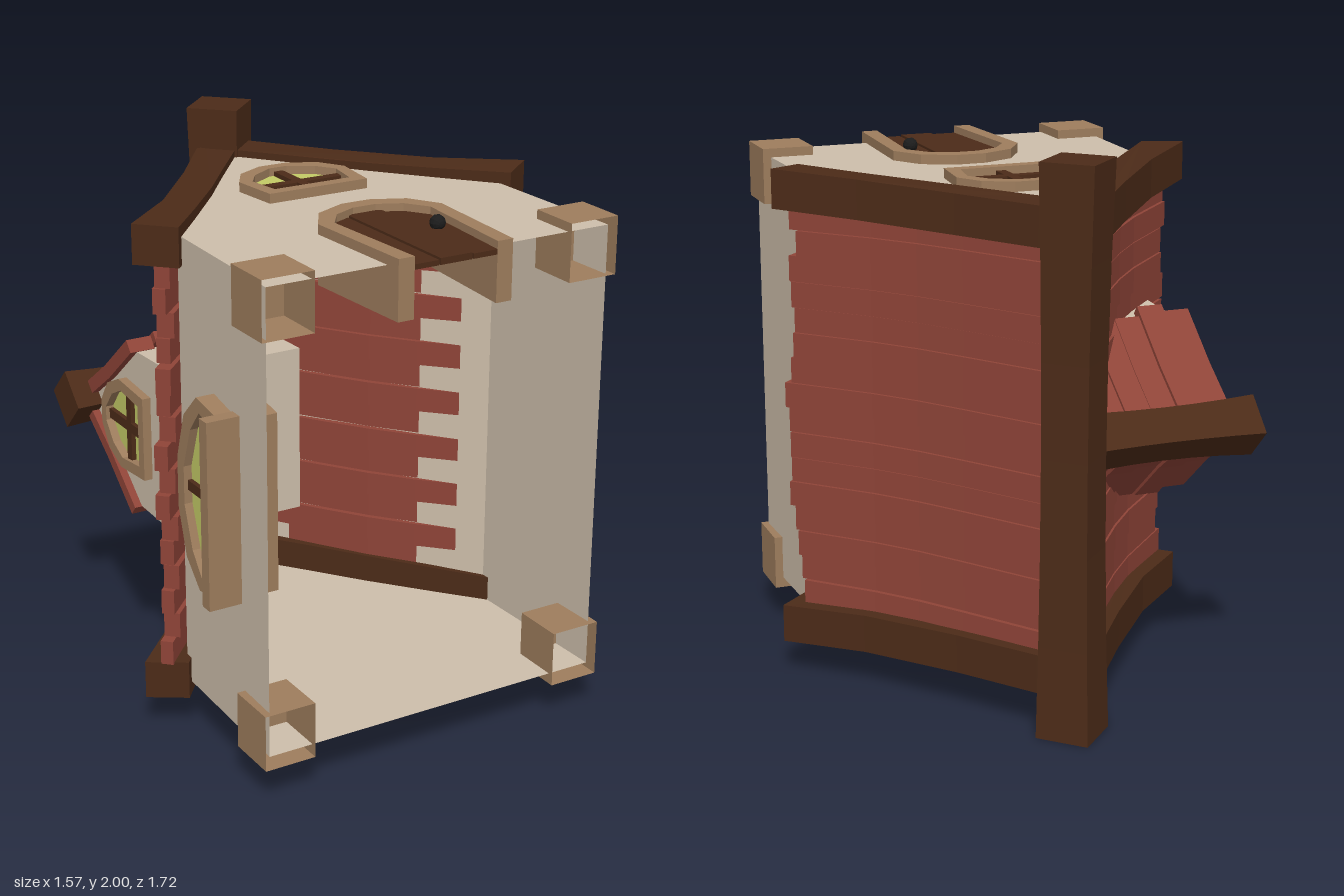
import * as THREE from 'three';

const mat = (color) => new THREE.MeshStandardMaterial({ color, flatShading: true, side: THREE.DoubleSide });
const PLASTER = mat(0xcebfab), TIMBER = mat(0x4c2b18), WOOD = mat(0x9e7d5d);
const TILE = mat(0x8f4438), GLASS = mat(0xc3ca66), IRON = mat(0x1c1c1c);

let seed = 7;
const rand = () => (seed = (seed * 16807) % 2147483647) / 2147483647;
const toShape = (pts) => new THREE.Shape(pts.map(([x, y]) => new THREE.Vector2(x, y)));
const mirrored = (pts) => [...pts, ...pts.slice().reverse().filter(([x]) => x !== 0).map(([x, y]) => [-x, y])];

function add(parent, name, geo, material, x = 0, y = 0, z = 0) {
  const m = new THREE.Mesh(geo, material);
  m.name = name;
  m.position.set(x, y, z);
  parent.add(m);
  return m;
}

function extrude(pts, z0, z1, hole) {
  const s = toShape(pts);
  if (hole) s.holes.push(new THREE.Path(hole.map(([x, y]) => new THREE.Vector2(x, y))));
  return new THREE.ExtrudeGeometry(s, { depth: z1 - z0, bevelEnabled: false }).translate(0, 0, z0);
}

// Thin walls: two end faces and a ribbon along the outline, optionally open below
function shell(parent, name, pts, z0, z1, closed) {
  const g = new THREE.Group();
  g.name = name;
  parent.add(g);
  add(g, name + 'Front', new THREE.ShapeGeometry(toShape(pts)), PLASTER, 0, 0, z1);
  add(g, name + 'Back', new THREE.ShapeGeometry(toShape(pts)).rotateY(Math.PI), PLASTER, 0, 0, z0);
  const pos = [], loop = closed ? [...pts, pts[0]] : pts;
  for (let i = 0; i + 1 < loop.length; i++) {
    const [a, b] = loop[i], [c, d] = loop[i + 1];
    pos.push(a, b, z1, a, b, z0, c, d, z0, a, b, z1, c, d, z0, c, d, z1);
  }
  const geo = new THREE.BufferGeometry();
  geo.setAttribute('position', new THREE.Float32BufferAttribute(pos, 3));
  geo.computeVertexNormals();
  add(g, name + 'Sides', geo, PLASTER);
  return g;
}

// Closed band of given thickness following a path
function band(path, up, down) {
  const off = (d) => path.map(([x, y], i) => {
    const p = path[Math.max(i - 1, 0)], q = path[Math.min(i + 1, path.length - 1)];
    const dx = q[0] - p[0], dy = q[1] - p[1], l = Math.hypot(dx, dy);
    return [x - (dy / l) * d, y + (dx / l) * d];
  });
  return [...off(up), ...off(-down).reverse()];
}

// Plank rows on both slopes of a roof
function planks(parent, name, path, z0, z1, count, thick) {
  const pitch = (z1 - z0) / count;
  for (const side of [1, -1]) {
    for (let i = 0; i < count; i++) {
      const p = path.map((q) => q.slice()), n = p.length - 1;
      const dx = p[n][0] - p[n - 1][0], dy = p[n][1] - p[n - 1][1], k = rand() * 0.2 - 0.12;
      p[n] = [p[n][0] + dx * k, p[n][1] + dy * k];
      const drop = i % 2 ? 0.016 : 0, jut = rand() * 0.008;
      const pts = band(p, thick / 2 + jut - drop / 2, thick / 2 + drop).map(([x, y]) => [x * side, y]);
      const a = z0 + i * pitch;
      add(parent, name, extrude(pts, a, a + pitch * (0.95 + rand() * 0.05)), TILE);
    }
  }
}

// Square beam set on edge, thinner and sagging in the middle; runs along z
function beam(length, r, sag) {
  const g = new THREE.CylinderGeometry(r, r, length, 4, 6).rotateX(Math.PI / 2);
  const p = g.attributes.position;
  for (let i = 0; i < p.count; i++) {
    const t = Math.pow((2 * p.getZ(i)) / length, 2), k = 0.87 + 0.13 * t;
    p.setXY(i, p.getX(i) * k, p.getY(i) * k - sag * (1 - t));
  }
  return g;
}

const ARCH = [[0.455, 0], [0.5, 0.56], [0.37, 0.84], [0.13, 1]];
const archPts = (w, h, inset = 0, base = 0) => mirrored(ARCH.map(([x, y], i) =>
  [x * w - inset * (i < 2 ? 1 : i === 2 ? 0.8 : 0.45), i === 0 ? base : y * h - inset * (i === 1 ? 0.35 : 0.9)]));

// Arched window facing +z with its outer face at z = 0
function archWindow(parent, name, w, h, depth, border) {
  const g = new THREE.Group();
  g.name = name;
  parent.add(g);
  const inner = archPts(w, h, border, border);
  add(g, 'windowFrame', extrude(archPts(w, h), -depth, 0, inner), WOOD);
  add(g, 'windowGlass', new THREE.ShapeGeometry(toShape(inner)), GLASS, 0, 0, -0.03);
  add(g, 'windowUpright', new THREE.BoxGeometry(0.036, h - border * 1.9, 0.025), TIMBER, 0, h / 2, -0.026);
  add(g, 'windowCrossbar', new THREE.BoxGeometry(w - border * 2.1, 0.036, 0.025), TIMBER, 0, h * 0.42, -0.026);
  return g;
}

export function createModel() {
  const model = new THREE.Group();
  model.name = 'cottage';
  // The cottage is built upright, then laid on its back wall
  const house = new THREE.Group();
  house.name = 'house';
  house.rotation.x = -Math.PI / 2;
  model.add(house);

  // Walls, open underneath
  shell(house, 'walls', mirrored([[0.655, -0.8], [0.635, -0.17], [0.46, 0.05], [0.25, 0.33], [0, 0.67]]), 0.18, 1.825, false);

  // Corner footings, hollow and open underneath
  for (const x of [-0.585, 0.585]) for (const z of [0.243, 1.755]) {
    const g = new THREE.BoxGeometry(0.19, 0.195, 0.205);
    const idx = Array.from(g.index.array);
    idx.splice(18, 6);
    g.setIndex(idx);
    add(house, 'cornerFooting', g, WOOD, x, -0.722, z);
  }

  // Main roof
  planks(house, 'roofPlank', [[0.03, 0.68], [0.25, 0.36], [0.36, 0.205], [0.48, 0.06], [0.71, -0.175]], 0.265, 1.745, 16, 0.045);
  add(house, 'ridgeBeam', beam(2, 0.136, 0.01), TIMBER, 0, 0.72, 1);

  // Gable boards, flaring outwards at the eaves
  const board = [[0, 0.84], [0.12, 0.68], [0.31, 0.41], [0.55, 0.1], [0.785, -0.135],
    [0.66, -0.23], [0.5, -0.04], [0.32, 0.18], [0.185, 0.36], [0, 0.6]];
  for (const side of [1, -1]) for (const end of [1, -1]) {
    const g = extrude(board.map(([x, y]) => [x * side, y]), -0.07, 0.07);
    const p = g.attributes.position;
    for (let i = 0; i < p.count; i++) p.setZ(i, p.getZ(i) + end * 0.025 * Math.pow(p.getX(i) / 0.785, 2));
    g.computeVertexNormals();
    add(house, 'gableBoard', g, TIMBER, 0, 0, 1 + end * 0.78);
  }

  // Door with planks, arched frame and knob
  const door = new THREE.Group();
  door.name = 'door';
  door.position.set(0.007, -0.86, 0);
  house.add(door);
  const outer = mirrored([[0.218, 0], [0.243, 0.455], [0.175, 0.565], [0.055, 0.62]]);
  const inner = mirrored([[0.158, 0], [0.188, 0.44], [0.132, 0.52], [0.045, 0.56]]);
  const jambs = [...outer.slice(0, 8), ...inner.slice().reverse()];
  add(door, 'doorFrame', extrude(jambs, 1.65, 1.86), WOOD);
  const leaves = [
    [[-0.158, 0], [-0.066, 0], [-0.072, 0.547], [-0.132, 0.52], [-0.188, 0.44]],
    [[-0.06, 0], [0.06, 0], [0.066, 0.55], [0.045, 0.56], [-0.045, 0.56], [-0.066, 0.55]],
    [[0.066, 0], [0.158, 0], [0.188, 0.44], [0.132, 0.52], [0.072, 0.547]],
  ];
  leaves.forEach((l, i) => add(door, 'doorPlank', extrude(l, 1.815, i === 1 ? 1.838 : 1.833), TIMBER));
  add(door, 'doorKnob', new THREE.SphereGeometry(0.028, 10, 8), IRON, 0.125, 0.3, 1.85);

  // Front gable window
  archWindow(house, 'gableWindow', 0.43, 0.33, 0.2, 0.045).position.set(0, -0.012, 1.86);

  // Side window with sill
  const sideWindow = archWindow(house, 'sideWindow', 0.7, 0.33, 0.2, 0.05);
  sideWindow.position.set(-0.71, -0.61, 1);
  sideWindow.rotation.y = -Math.PI / 2;
  add(sideWindow, 'windowSill', new THREE.BoxGeometry(0.67, 0.05, 0.13), WOOD, 0, 0.025, -0.005);

  // Dormer, modelled facing +z and turned to face -x
  const dormer = new THREE.Group();
  dormer.name = 'dormer';
  dormer.position.set(0, 0, 1);
  dormer.rotation.y = -Math.PI / 2;
  house.add(dormer);
  shell(dormer, 'dormerWalls', mirrored([[0.305, -0.08], [0.295, 0.21], [0, 0.58]]), 0.12, 0.62, true);
  planks(dormer, 'dormerPlank', [[0.01, 0.625], [0.17, 0.4], [0.335, 0.2]], 0.06, 0.65, 6, 0.035);
  add(dormer, 'dormerRidge', beam(0.68, 0.11, 0.008), TIMBER, 0, 0.605, 0.38);
  archWindow(dormer, 'dormerWindow', 0.34, 0.34, 0.1, 0.04).position.set(0, 0.1, 0.652);

  return model;
}
